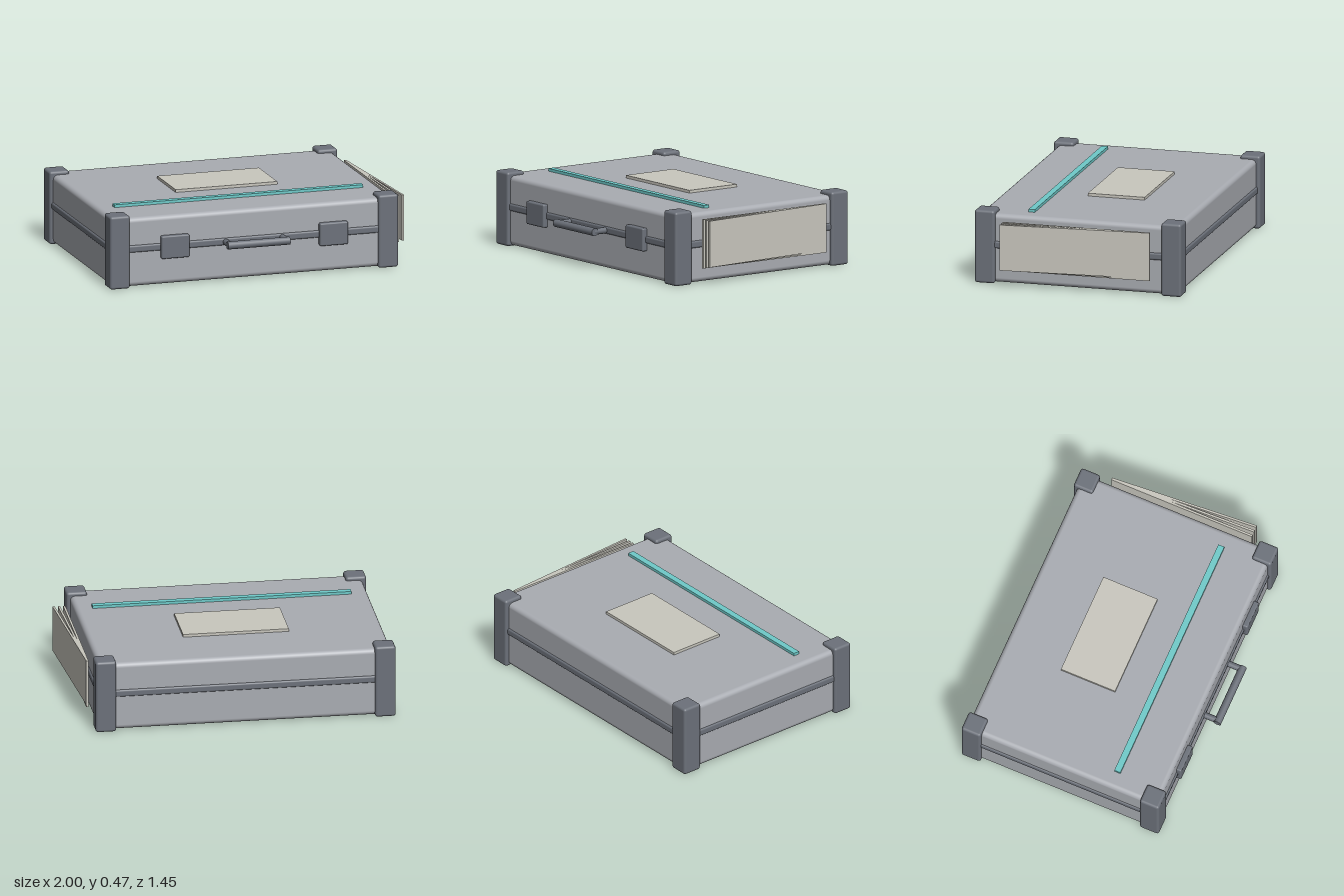
import * as THREE from 'three';
import { RoundedBoxGeometry } from 'three/addons/geometries/RoundedBoxGeometry.js';

const material = (name, color) => {
  const m = new THREE.MeshStandardMaterial({ color });
  m.name = name;
  return m;
};

export function createModel() {
  const shell = material('shell grey', 0xa9acb2);
  const trim = material('trim slate', 0x6c717a);
  const paper = material('paper', 0xc9c7be);
  const teal = material('teal', 0x6fcac9);

  const model = new THREE.Group();
  model.name = 'briefcase';

  const add = (name, geometry, mat, x, y, z, parent = model) => {
    const mesh = new THREE.Mesh(geometry, mat);
    mesh.name = name;
    mesh.position.set(x, y, z);
    parent.add(mesh);
    return mesh;
  };
  // Box given by its low and high limits, rounded if r > 0
  const block = (name, mat, [x0, x1], [y0, y1], [z0, z1], r = 0) => {
    const size = [x1 - x0, y1 - y0, z1 - z0];
    const geometry = r ? new RoundedBoxGeometry(...size, 3, r) : new THREE.BoxGeometry(...size);
    return add(name, geometry, mat, (x0 + x1) / 2, (y0 + y1) / 2, (z0 + z1) / 2);
  };

  // Case and the seam band round its middle
  block('caseBody', shell, [-0.977, 0.877], [0.005, 0.447], [-0.702, 0.597], 0.03);
  block('seamBand', trim, [-0.987, 0.887], [0.226, 0.272], [-0.712, 0.607], 0.012);

  // Corner guards
  for (const x of [-1, 0.77]) {
    for (const z of [-0.727, 0.49]) {
      block('cornerGuard', trim, [x, x + 0.13], [0, 0.47], [z, z + 0.13], 0.016);
    }
  }

  // Clasps
  for (const x of [-0.665, 0.38]) {
    block('clasp', trim, [x, x + 0.185], [0.175, 0.322], [0.59, 0.63], 0.01);
  }

  // Handle: two posts and a grip
  const handle = new THREE.Group();
  handle.name = 'handle';
  model.add(handle);
  for (const x of [-0.235, 0.138]) {
    add('handlePost', new THREE.CylinderGeometry(0.02, 0.02, 0.115, 16), trim, x, 0.248, 0.642, handle)
      .rotation.x = Math.PI / 2;
  }
  add('handleGrip', new THREE.CylinderGeometry(0.025, 0.025, 0.41, 20), trim, -0.05, 0.248, 0.698, handle)
    .rotation.z = Math.PI / 2;

  // Label and stripe on the lid
  block('lidLabel', paper, [-0.385, 0.285], [0.442, 0.465], [-0.312, 0.058]);
  block('lidStripe', teal, [-0.87, 0.77], [0.442, 0.465], [0.263, 0.304]);

  // Sheets fanned out beside the case, hinged at the back
  const papers = new THREE.Group();
  papers.name = 'papers';
  model.add(papers);
  for (let i = 0; i < 3; i++) {
    const bottom = 0.1 + i * 0.008;
    add('sheet', new THREE.BoxGeometry(0.014, 0.411 - bottom, 0.96), paper,
      0.925 + i * 0.017, (bottom + 0.411) / 2, -0.052, papers).rotation.y = i * 0.035;
  }
  return model;
}
